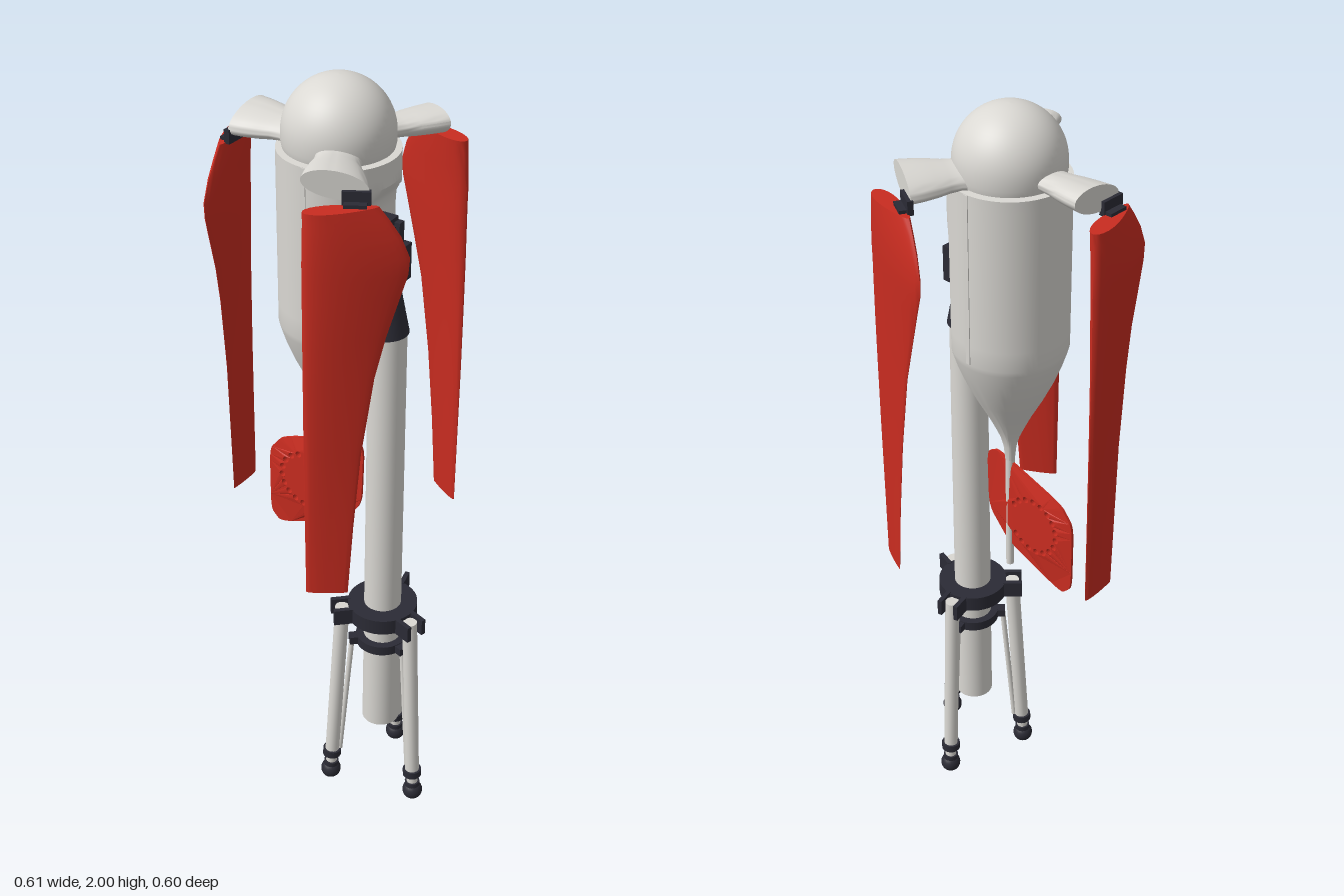
import * as THREE from 'three';
import { mergeVertices, toCreasedNormals } from 'three/addons/utils/BufferGeometryUtils.js';

const mat = (name, color) => {
  const m = new THREE.MeshStandardMaterial({ color });
  m.name = name;
  return m;
};

export function createModel() {
  const model = new THREE.Group();
  model.name = 'portableWindTurbine';
  const white = mat('paleGrey', 0xdad8d3);
  const red = mat('bladeRed', 0xc92c20);
  const dark = mat('darkPlastic', 0x2b2b35);
  const AX = 0.01, PX = 0.147; // turbine axis and mast axis

  const add = (parent, name, geo, material, x = 0, y = 0, z = 0) => {
    const m = new THREE.Mesh(geo, material);
    m.name = name;
    m.position.set(x, y, z);
    parent.add(m);
    return m;
  };
  const box = (p, name, m, w, h, d, x, y, z) => add(p, name, new THREE.BoxGeometry(w, h, d), m, x, y, z);
  const cyl = (p, name, m, rt, rb, h, x, y, z, n = 32) => add(p, name, new THREE.CylinderGeometry(rt, rb, h, n), m, x, y, z);
  const rod = (p, name, m, a, b, r) => {
    const d = b.clone().sub(a);
    const c = a.clone().add(b).multiplyScalar(0.5);
    const mesh = cyl(p, name, m, r, r, d.length(), c.x, c.y, c.z, 16);
    mesh.quaternion.setFromUnitVectors(new THREE.Vector3(0, 1, 0), d.normalize());
    return mesh;
  };
  const lathe = (pts) => new THREE.LatheGeometry(pts.map(([r, y]) => new THREE.Vector2(r, y)), 72);

  // Closed skin through rings of points, capped at both ends
  const loft = (rings) => {
    const n = rings[0].length, pos = [], idx = [];
    rings.forEach((r) => r.forEach((p) => pos.push(...p)));
    for (let i = 0; i < rings.length - 1; i++) {
      for (let j = 0; j < n; j++) {
        const a = i * n + j, b = i * n + (j + 1) % n;
        idx.push(a, b, a + n, b, b + n, a + n);
      }
    }
    const top = (rings.length - 1) * n;
    for (let j = 1; j < n - 1; j++) {
      idx.push(0, j + 1, j, top, top + j, top + j + 1);
    }
    const g = new THREE.BufferGeometry();
    g.setAttribute('position', new THREE.Float32BufferAttribute(pos, 3));
    g.setIndex(idx);
    return toCreasedNormals(g, 0.8);
  };

  // Domed hub
  const dome = [[0.127, 1.836], [0.13, 1.85]];
  for (let i = 0; i <= 16; i++) {
    const a = (i / 16) * Math.PI / 2;
    dome.push([Math.max(0, 0.13 * Math.cos(a)), 1.87 + 0.13 * Math.sin(a)]);
  }
  add(model, 'hub', lathe(dome), white, AX);

  // Nacelle: bell-shaped body with a flat cut on the mast side
  const profile = [[0, 1.06], [0.012, 1.06], [0.016, 1.1], [0.024, 1.13], [0.037, 1.16], [0.056, 1.2],
    [0.083, 1.25], [0.107, 1.3], [0.127, 1.35], [0.138, 1.385], [0.142, 1.4]];
  for (let y = 1.45; y < 1.82; y += 0.025) profile.push([0.142, y]);
  profile.push([0.142, 1.833], [0, 1.835]);
  let body = lathe(profile);
  const p = body.attributes.position;
  for (let i = 0; i < p.count; i++) {
    const k = THREE.MathUtils.smoothstep(p.getY(i), 1.69, 1.79);
    p.setX(i, Math.min(p.getX(i), 0.08 + 0.065 * k));
  }
  body.deleteAttribute('uv');
  body.deleteAttribute('normal');
  body = toCreasedNormals(mergeVertices(body, 1e-4), 0.6);
  add(model, 'nacelle', body, white, AX);
  for (const s of [-1, 1]) box(model, 'nacelleSeam', white, 0.012, 0.43, 0.004, AX, 1.617, s * 0.142);
  cyl(model, 'tailRod', white, 0.012, 0.01, 0.36, AX, 0.91, 0, 16);

  // Tail vane with a broken ring of holes, thinning toward its rim
  const corners = [[-0.2, 0.95], [-0.2, 0.76], [-0.17, 0.73], [0.01, 0.8], [0.08, 0.88], [0.085, 1.05], [0.05, 1.07], [-0.16, 1.0]];
  const vane = new THREE.Shape();
  corners.forEach(([x, y], i) => {
    const [px, py] = corners[(i + 7) % 8], [nx, ny] = corners[(i + 1) % 8], t = 0.25;
    const ax = x + (px - x) * t, ay = y + (py - y) * t;
    if (i) vane.lineTo(ax, ay); else vane.moveTo(ax, ay);
    vane.quadraticCurveTo(x, y, x + (nx - x) * t, y + (ny - y) * t);
  });
  vane.closePath();
  for (let i = 0; i < 16; i++) {
    const a = 0.55 + i * 0.335;
    vane.holes.push(new THREE.Path().absarc(-0.08 + 0.075 * Math.cos(a), 0.9 + 0.075 * Math.sin(a), 0.0085, 0, Math.PI * 2, true));
  }
  const vaneGeo = new THREE.ExtrudeGeometry(vane, { depth: 0.026, bevelEnabled: false, curveSegments: 8 });
  vaneGeo.translate(0, 0, -0.013);
  const v = vaneGeo.attributes.position;
  for (let i = 0; i < v.count; i++) {
    if (Math.hypot(v.getX(i) + 0.08, v.getY(i) - 0.9) > 0.09) v.setZ(i, v.getZ(i) * 0.25);
  }
  vaneGeo.computeVertexNormals();
  add(model, 'tailVane', vaneGeo, red);

  // Rotor: three flared arms with folded blades; local +x is outward
  const armRings = [[0.09, 0.056, 0.03], [0.125, 0.05, 0.025], [0.15, 0.053, 0.026], [0.18, 0.062, 0.029], [0.215, 0.069, 0.031], [0.247, 0.073, 0.032]]
    .map(([x, w, h]) => Array.from({ length: 32 }, (_, j) => {
      const a = (j / 32) * Math.PI * 2, z = w * Math.sin(a) - 0.006;
      return [x, 1.852 + h * Math.cos(a) + 0.15 * z, z];
    }));
  // height, leading edge, trailing edge, their radii, thickness
  const sections = [[0.81, 0.06, -0.04, 0.305, 0.302, 0.01], [1.0, 0.061, -0.052, 0.305, 0.296, 0.014],
    [1.2, 0.062, -0.068, 0.305, 0.287, 0.02], [1.4, 0.062, -0.096, 0.304, 0.276, 0.028],
    [1.5, 0.062, -0.12, 0.303, 0.267, 0.034], [1.6, 0.062, -0.15, 0.301, 0.26, 0.041],
    [1.65, 0.062, -0.165, 0.3, 0.256, 0.044], [1.69, 0.062, -0.168, 0.3, 0.255, 0.046],
    [1.74, 0.061, -0.148, 0.298, 0.255, 0.048], [1.78, 0.06, -0.122, 0.296, 0.256, 0.048], [1.81, 0.06, -0.1, 0.294, 0.257, 0.046]];
  const bladeRings = sections.map(([y, zl, zt, rl, rt, t]) => {
    const cx = rt - rl, cz = zt - zl, len = Math.hypot(cx, cz);
    return Array.from({ length: 28 }, (_, j) => {
      const a = (j / 28) * Math.PI * 2, u = (1 - Math.cos(a)) / 2;
      const o = t * 0.5 * Math.sin(a) * (1.3 - 0.7 * u);
      return [rl + cx * u - (cz / len) * o, y, zl + cz * u + (cx / len) * o];
    });
  });
  const armGeo = loft(armRings), bladeGeo = loft(bladeRings);
  [Math.PI, Math.PI / 3, -Math.PI / 3].forEach((angle) => {
    const g = new THREE.Group();
    g.name = 'rotorArm';
    g.position.x = AX;
    g.rotation.y = angle;
    add(g, 'arm', armGeo, white);
    add(g, 'blade', bladeGeo, red);
    box(g, 'hinge', dark, 0.014, 0.034, 0.062, 0.249, 1.824, -0.052);
    box(g, 'hingeLeaf', dark, 0.03, 0.012, 0.05, 0.258, 1.812, -0.05);
    model.add(g);
  });

  // Mast and its head joint
  cyl(model, 'mast', white, 0.046, 0.049, 1.2, PX, 0.81, 0, 40);
  for (let i = 0; i < 6; i++) {
    const r = 0.056 - i * 0.0035;
    cyl(model, 'bootRib', dark, r - 0.004, r, 0.018, PX - 0.006, 1.412 + i * 0.018, 0);
  }
  cyl(model, 'headNeck', dark, 0.036, 0.036, 0.04, PX - 0.012, 1.52, 0);
  box(model, 'headBlock', dark, 0.085, 0.09, 0.11, 0.13, 1.572, 0);
  for (const z of [-0.036, 0, 0.036]) box(model, 'headLug', dark, 0.07, 0.06, 0.02, 0.122, 1.64, z);
  box(model, 'headTop', dark, 0.055, 0.016, 0.088, 0.115, 1.672, 0);
  const pin = cyl(model, 'headPin', dark, 0.01, 0.01, 0.1, 0.135, 1.638, 0, 16);
  pin.rotation.x = Math.PI / 2;

  // Tripod
  const tripod = new THREE.Group();
  tripod.name = 'tripod';
  tripod.position.x = PX;
  model.add(tripod);
  cyl(tripod, 'upperCollar', dark, 0.09, 0.09, 0.042, 0, 0.582, 0, 40);
  cyl(tripod, 'lowerCollar', dark, 0.068, 0.068, 0.026, 0, 0.485, 0, 40);
  for (let i = 0; i < 3; i++) {
    const leg = new THREE.Group();
    leg.name = 'tripodLeg';
    leg.rotation.y = -0.296 - i * Math.PI * 2 / 3;
    const at = (y) => new THREE.Vector3(0.137 - (y - 0.027) * 0.055, y, 0);
    box(leg, 'legBracket', dark, 0.05, 0.045, 0.012, 0.107, 0.582, 0.024);
    box(leg, 'legBracket', dark, 0.05, 0.045, 0.012, 0.107, 0.582, -0.024);
    box(leg, 'strutLug', dark, 0.03, 0.022, 0.026, 0.072, 0.485, 0);
    rod(leg, 'legTube', white, at(0.09), at(0.595), 0.019);
    rod(leg, 'strut', white, new THREE.Vector3(0.08, 0.485, 0), new THREE.Vector3(0.112, 0.1, 0), 0.007);
    rod(leg, 'legClamp', dark, at(0.082), at(0.102), 0.025);
    rod(leg, 'ankle', white, at(0.04), at(0.085), 0.015);
    rod(leg, 'footCuff', dark, at(0.04), at(0.058), 0.02);
    add(leg, 'foot', new THREE.SphereGeometry(0.027, 20, 14), dark, 0.137, 0.027, 0);
    tripod.add(leg);
  }
  return model;
}
